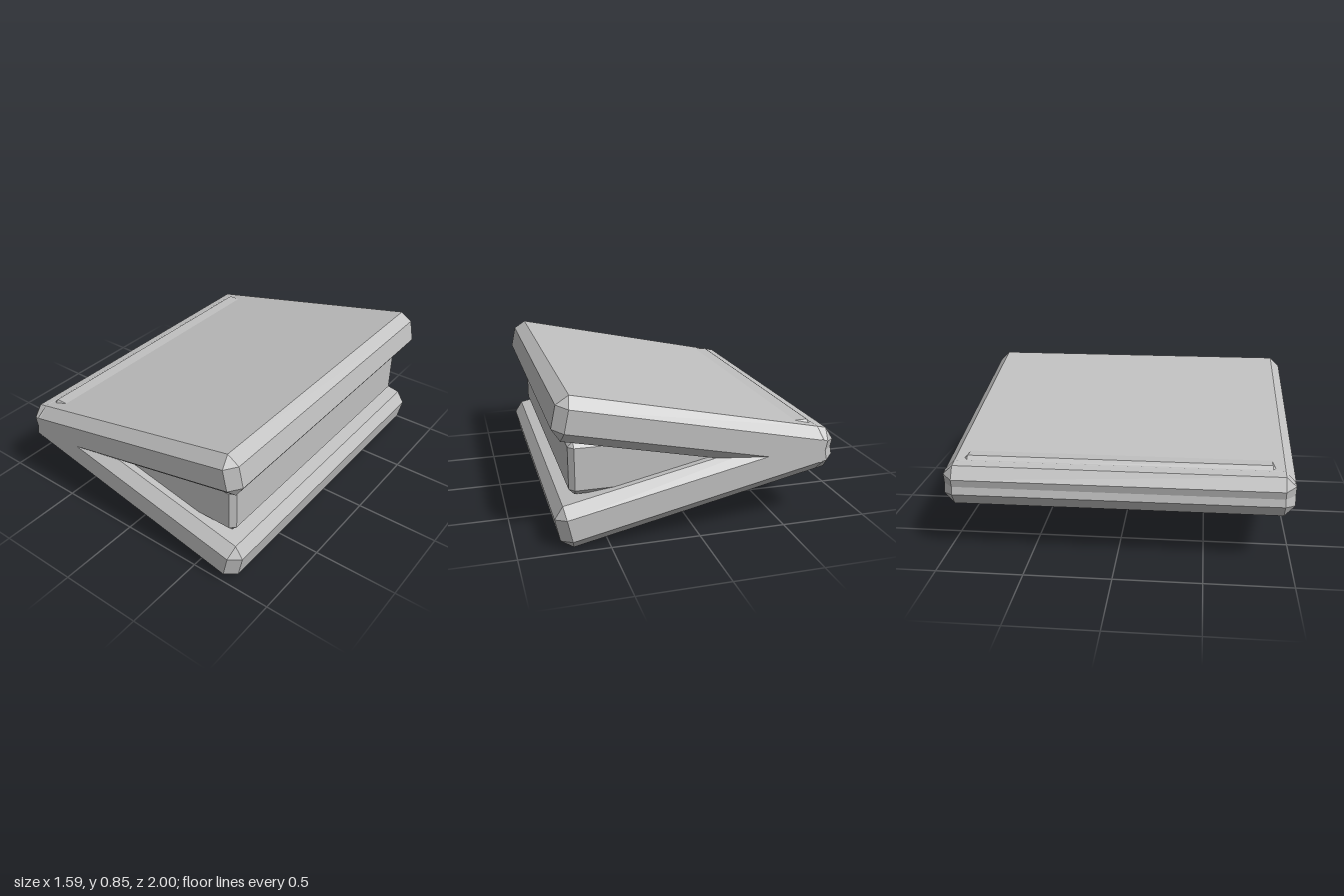
import * as THREE from 'three';
import { ConvexGeometry } from 'three/addons/geometries/ConvexGeometry.js';

// Box with flat chamfers on every edge and triangular corners
function chamferBox(w, h, d, c) {
  const pts = [];
  for (const sx of [-1, 1]) for (const sy of [-1, 1]) for (const sz of [-1, 1]) {
    for (let axis = 0; axis < 3; axis++) {
      const inset = [c, c, c];
      inset[axis] = 0;
      pts.push(new THREE.Vector3(
        sx * (w / 2 - inset[0]),
        sy * (h / 2 - inset[1]),
        sz * (d / 2 - inset[2])
      ));
    }
  }
  return new ConvexGeometry(pts);
}

export function createModel() {
  const model = new THREE.Group();
  model.name = 'openBook';
  const grey = new THREE.MeshStandardMaterial({ color: 0xc0c0c0 });
  grey.name = 'grey';

  const midY = 0.429;
  const tilt = 0.2112;

  // Two covers spreading from the spine on the -x side
  const coverGeometry = chamferBox(1.6, 0.25, 2, 0.06);
  for (const [name, side] of [['upperCover', 1], ['lowerCover', -1]]) {
    const cover = new THREE.Mesh(coverGeometry, grey);
    cover.name = name;
    cover.position.set(-0.004, midY + side * 0.149, 0);
    cover.rotation.z = side * tilt;
    model.add(cover);
  }

  // Page block held between the covers
  const pages = new THREE.Mesh(chamferBox(1.4, 0.3, 1.8, 0.03), grey);
  pages.name = 'pageBlock';
  pages.position.y = midY;
  model.add(pages);

  return model;
}
